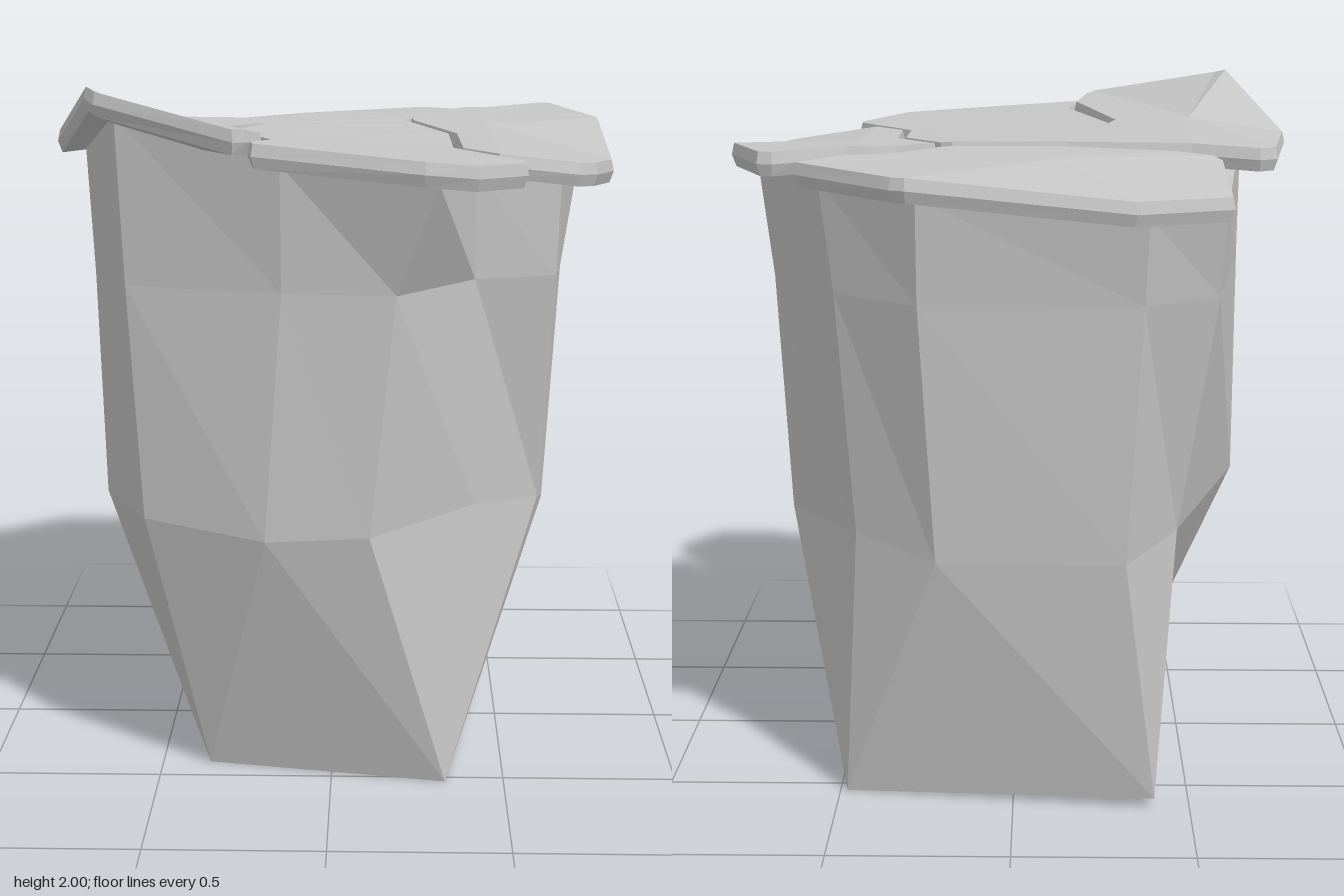
import * as THREE from 'three';

const stone = new THREE.MeshStandardMaterial({ color: 0xc6c6c6, flatShading: true });
stone.name = 'grey stone';

// Builds a flat-shaded mesh from a list of triangles (each three [x, y, z] points)
function facetMesh(name, tris) {
  const geo = new THREE.BufferGeometry();
  geo.setAttribute('position', new THREE.Float32BufferAttribute(tris.flat(2), 3));
  geo.computeVertexNormals();
  const mesh = new THREE.Mesh(geo, stone);
  mesh.name = name;
  return mesh;
}

// Faceted trunk lofted through rings; tapered corners share one foot point
function makePillar() {
  const frontFoot = [0.33, 0, 0.53], backFoot = [0.48, 0, -0.55];
  const leftFoot = [-0.36, 0, 0.4], rearFoot = [-0.4, 0.03, -0.67];
  const chip = [-0.445, 0.22, 0.36];
  const rings = [
    [chip, leftFoot, frontFoot, frontFoot, frontFoot, frontFoot,
      backFoot, backFoot, backFoot, rearFoot, rearFoot, chip],
    [[-0.53, 0.78, 0.5], [-0.18, 0.76, 0.66], [0.11, 0.78, 0.68], [0.41, 0.8, 0.4],
      [0.6, 0.78, 0.24], [0.62, 0.75, 0.13], [0.65, 0.78, -0.28], [0.44, 0.78, -0.58],
      [0.21, 0.74, -0.74], [-0.31, 0.74, -0.75], [-0.46, 0.78, -0.53], [-0.67, 0.78, 0.21]],
    [[-0.57, 1.45, 0.5], [-0.13, 1.46, 0.67], [0.18, 1.46, 0.7], [0.4, 1.46, 0.43],
      [0.63, 1.46, 0.36], [0.66, 1.45, 0.13], [0.69, 1.46, -0.27], [0.49, 1.46, -0.59],
      [0.25, 1.46, -0.8], [-0.35, 1.46, -0.8], [-0.56, 1.46, -0.64], [-0.68, 1.45, 0.28]],
    [[-0.59, 1.92, 0.51], [-0.13, 1.81, 0.7], [0.29, 1.77, 0.81], [0.4, 1.77, 0.45],
      [0.64, 1.75, 0.37], [0.7, 1.72, 0.13], [0.73, 1.77, -0.26], [0.53, 1.77, -0.57],
      [0.25, 1.75, -0.83], [-0.36, 1.7, -0.84], [-0.57, 1.69, -0.7], [-0.69, 1.81, 0.34]],
  ];
  const tris = [
    [rearFoot, leftFoot, chip],
    [frontFoot, leftFoot, rearFoot], [frontFoot, rearFoot, backFoot],
  ];
  for (let r = 0; r < 3; r++) {
    const a = rings[r], b = rings[r + 1];
    a.forEach((p, i) => {
      const j = (i + 1) % a.length;
      if (p !== a[j]) tris.push([p, a[j], b[i]]);
      tris.push([a[j], b[j], b[i]]);
    });
  }
  const top = rings[3];
  top.forEach((p, i) => tris.push([p, top[(i + 1) % top.length], [0, 1.75, 0]]));
  return facetMesh('pillar', tris);
}

// Slab chamfered below: outline points are [x, z, top height], clockwise from above.
// The last point is a crown inside; fan lists the points joined to it,
// and patches are further polygons of the top.
function makeSlab(name, points, fan, patches = []) {
  const n = points.length - 1;
  const inward = points.slice(0, n).map((p, i) => {
    const a = points[(i + n - 1) % n], b = points[(i + 1) % n];
    const n1 = new THREE.Vector2(a[1] - p[1], p[0] - a[0]).normalize();
    const n2 = new THREE.Vector2(p[1] - b[1], b[0] - p[0]).normalize();
    return n1.add(n2).normalize();
  });
  const level = (inset, drop) => points.map(([x, z, y], i) => {
    const d = inward[i] || { x: 0, y: 0 };
    return [x + d.x * inset, y - drop, z + d.y * inset];
  });
  const levels = [level(0.004, 0), level(-0.003, 0.033), level(0.009, 0.066)];

  // Index triangles for the top, all turned to face upward
  const faces = fan.map((v, i) => [v, fan[(i + 1) % fan.length], n]);
  for (const patch of patches) {
    const flat = patch.map((i) => new THREE.Vector2(points[i][0], -points[i][1]));
    for (const f of THREE.ShapeUtils.triangulateShape(flat, [])) faces.push(f.map((k) => patch[k]));
  }
  const tris = [];
  for (const f of faces) {
    const [a, b, c] = f.map((i) => points[i]);
    const area = (b[0] - a[0]) * (c[1] - a[1]) - (b[1] - a[1]) * (c[0] - a[0]);
    const up = area < 0 ? f : [f[0], f[2], f[1]];
    tris.push(up.map((i) => levels[0][i]));
    tris.push([up[0], up[2], up[1]].map((i) => levels[2][i]));
  }
  // Rim
  for (let k = 0; k < 2; k++) {
    const u = levels[k], l = levels[k + 1];
    for (let i = 0; i < n; i++) {
      const j = (i + 1) % n;
      tris.push([l[j], l[i], u[i]], [l[j], u[i], u[j]]);
    }
  }
  return facetMesh(name, tris);
}

const range = (n) => Array.from({ length: n }, (_, i) => i);

export function createModel() {
  const group = new THREE.Group();
  group.name = 'crackedStonePillar';
  group.add(makePillar());

  // Front slab with a raised lobe and a split running in from its front edge
  group.add(makeSlab('frontSlab', [
    [-0.69, -0.32, 1.83], [-0.5, -0.275, 1.84], [-0.15, -0.238, 1.84], [0.18, -0.238, 1.84],
    [0.215, -0.215, 1.835], [0.335, 0.06, 1.825], [0.34, 0.38, 1.82], [0.42, 0.51, 1.82],
    [0.52, 0.67, 1.82], [0.52, 0.73, 1.82], [0.385, 0.925, 1.835], [0.25, 0.925, 1.845],
    [-0.195, 0.835, 1.88], [-0.207, 0.775, 1.88], [-0.16, 0.65, 1.87], [-0.28, 0.245, 1.855],
    [-0.2, -0.04, 1.845], [-0.295, 0.24, 1.865], [-0.18, 0.66, 1.89], [-0.218, 0.775, 1.91],
    [-0.245, 0.83, 1.915], [-0.63, 0.6, 1.99], [-0.66, 0.55, 2.0], [-0.8, 0.12, 1.84],
    [-0.74, -0.28, 1.83],
    [-0.52, 0.18, 1.88],
  ], [0, 1, 16, 17, 18, 19, 20, 21, 22, 23, 24],
  [[1, 2, 16], [2, 3, 4, 5, 16], [16, 5, 15], [5, 6, 15], [15, 6, 14],
    [6, 7, 8, 14], [8, 9, 10, 11, 12, 13, 14]]));

  // Back slab
  group.add(makeSlab('backSlab', [
    [-0.585, -0.73, 1.74], [-0.32, -0.925, 1.75], [0.27, -0.93, 1.81], [0.31, -0.91, 1.81],
    [0.585, -0.63, 1.82], [0.575, -0.61, 1.82], [0.45, -0.51, 1.83], [0.38, -0.508, 1.83],
    [0.31, -0.45, 1.83], [0.205, -0.272, 1.83], [0.17, -0.253, 1.83], [-0.13, -0.253, 1.83],
    [-0.45, -0.29, 1.82], [-0.56, -0.315, 1.81], [-0.585, -0.35, 1.8],
    [-0.12, -0.55, 1.825],
  ], range(15)));

  // Side slab, dipping at its outer edge
  group.add(makeSlab('sideSlab', [
    [0.225, -0.265, 1.84], [0.325, -0.44, 1.845], [0.39, -0.492, 1.85], [0.455, -0.495, 1.85],
    [0.59, -0.61, 1.85], [0.64, -0.66, 1.85], [0.68, -0.65, 1.85], [0.8, -0.28, 1.84],
    [0.8, 0.18, 1.765], [0.73, 0.42, 1.785], [0.68, 0.47, 1.79], [0.455, 0.525, 1.82],
    [0.36, 0.39, 1.82], [0.352, 0.05, 1.825], [0.23, -0.22, 1.835],
    [0.45, -0.12, 1.835],
  ], range(15)));

  return group;
}
